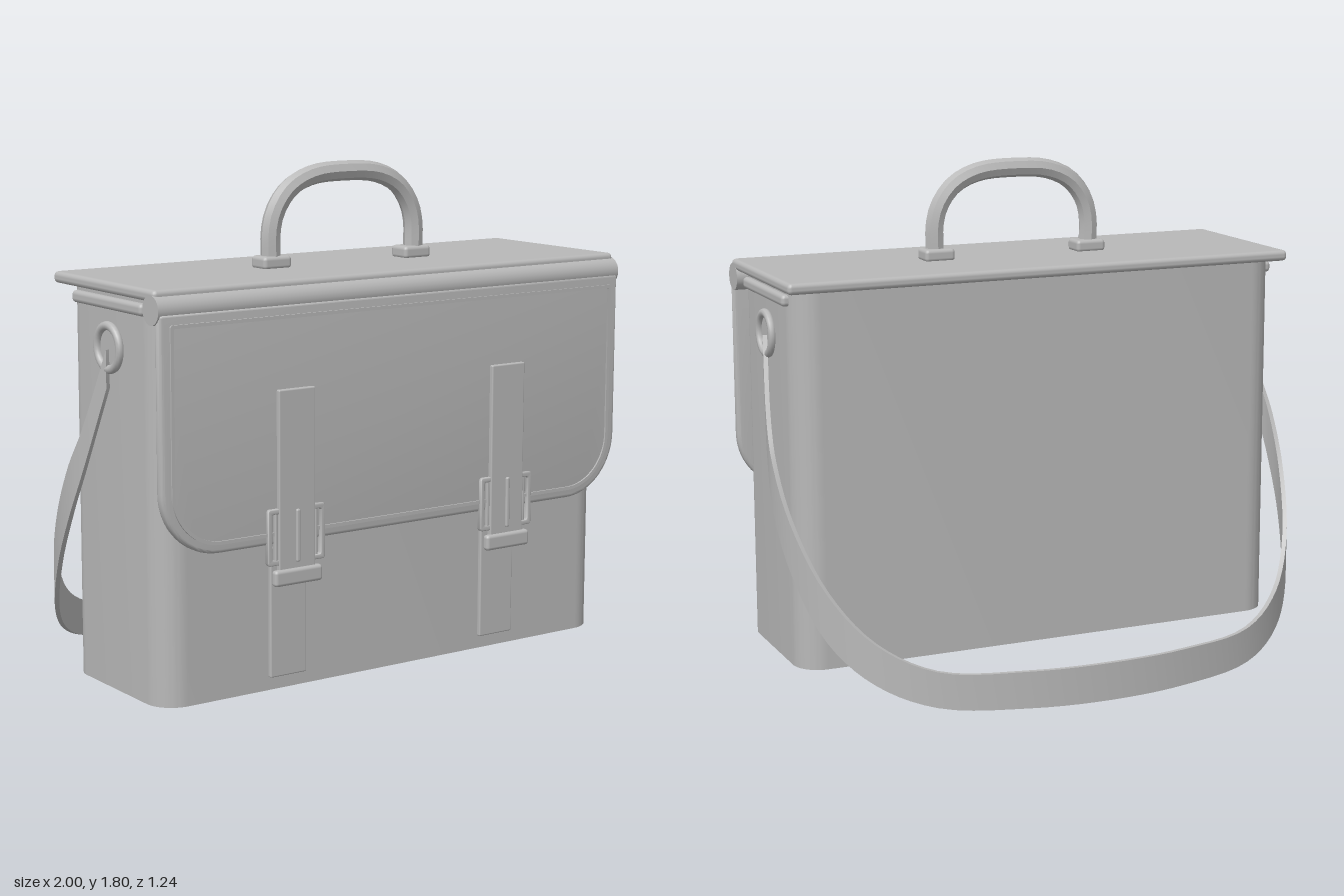
import * as THREE from 'three';
import { RoundedBoxGeometry } from 'three/addons/geometries/RoundedBoxGeometry.js';
import { toCreasedNormals } from 'three/addons/utils/BufferGeometryUtils.js';

const leather = new THREE.MeshStandardMaterial({ color: 0xb8b8b8 });
leather.name = 'grey leather';

// Rectangle outline with separate corner radii for the top and bottom
function outline(x0, x1, y0, y1, rTop, rBottom, Type = THREE.Shape) {
  const s = new Type();
  const H = Math.PI / 2;
  s.moveTo(x0 + rBottom, y0);
  s.lineTo(x1 - rBottom, y0);
  s.absarc(x1 - rBottom, y0 + rBottom, rBottom, -H, 0);
  s.lineTo(x1, y1 - rTop);
  s.absarc(x1 - rTop, y1 - rTop, rTop, 0, H);
  s.lineTo(x0 + rTop, y1);
  s.absarc(x0 + rTop, y1 - rTop, rTop, H, 2 * H);
  s.lineTo(x0, y0 + rBottom);
  s.absarc(x0 + rBottom, y0 + rBottom, rBottom, 2 * H, 3 * H);
  return s;
}

function extrude(shape, depth, bevel = 0) {
  const g = new THREE.ExtrudeGeometry(shape, {
    depth: depth - 2 * bevel, curveSegments: 10,
    bevelEnabled: bevel > 0, bevelSize: bevel, bevelThickness: bevel, bevelOffset: -bevel, bevelSegments: 3,
  });
  g.translate(0, 0, bevel);
  return toCreasedNormals(g, 0.7);
}

// Shoulder strap: a ribbon swept between an upper and a lower edge curve
function ribbon(rows, thickness, steps) {
  const full = [...rows, ...rows.slice(0, -1).reverse().map(([x, z, t, b]) => [-x, z, t, b])];
  const edge = (k) => new THREE.CatmullRomCurve3(full.map((r) => new THREE.Vector3(r[0], r[k], r[1])));
  const upper = edge(2), lower = edge(3);
  const pos = [], idx = [];
  for (let i = 0; i <= steps; i++) {
    const u = upper.getPoint(i / steps), l = lower.getPoint(i / steps);
    const t = upper.getTangent(i / steps);
    const n = new THREE.Vector3(-t.z, 0, t.x).normalize().multiplyScalar(thickness / 2);
    for (const [p, s] of [[u, 1], [u, -1], [l, -1], [l, 1]]) pos.push(p.x + s * n.x, p.y, p.z + s * n.z);
    if (i === steps) continue;
    for (let k = 0; k < 4; k++) {
      const a = i * 4 + k, b = i * 4 + (k + 1) % 4;
      idx.push(a, a + 4, b, b, a + 4, b + 4);
    }
  }
  const e = steps * 4;
  idx.push(0, 1, 2, 0, 2, 3, e, e + 2, e + 1, e, e + 3, e + 2);
  const g = new THREE.BufferGeometry();
  g.setAttribute('position', new THREE.Float32BufferAttribute(pos, 3));
  g.setIndex(idx);
  return toCreasedNormals(g, 0.7);
}

export function createModel() {
  const bag = new THREE.Group();
  bag.name = 'satchel';
  const strapLeather = leather.clone();
  strapLeather.name = 'grey strap leather';
  strapLeather.side = THREE.DoubleSide;

  const add = (name, geometry, x = 0, y = 0, z = 0, parent = bag, material = leather) => {
    const m = new THREE.Mesh(geometry, material);
    m.name = name;
    m.position.set(x, y, z);
    parent.add(m);
    return m;
  };
  const block = (name, w, h, d, r, x, y, z, parent) =>
    add(name, new RoundedBoxGeometry(w, h, d, 2, r), x, y, z, parent);

  // Body with rounded upright corners
  const body = extrude(outline(-0.94, 0.94, -0.3, 0.3, 0.1, 0.1), 1.36);
  body.rotateX(-Math.PI / 2);
  add('body', body, 0, 0.055, 0.24);

  // Lid, rolled front edge and front flap
  block('lid', 1.94, 0.04, 0.66, 0.016, 0, 1.425, 0.232);
  const roll = new THREE.CylinderGeometry(0.049, 0.049, 1.94, 24);
  roll.rotateZ(Math.PI / 2);
  add('rolledEdge', roll, 0, 1.38, 0.542);
  add('flap', extrude(outline(-0.965, 0.965, 0.57, 1.37, 0.01, 0.22), 0.038, 0.012), 0, 0, 0.555);

  // Raised seam just inside the flap edge
  const seam = outline(-0.93, 0.93, 0.6, 1.335, 0.008, 0.19);
  seam.holes.push(outline(-0.918, 0.918, 0.612, 1.323, 0.006, 0.178, THREE.Path));
  add('flapSeam', extrude(seam, 0.012), 0, 0, 0.587);

  // Two closing straps with buckles
  for (const side of [-1, 1]) {
    const clasp = new THREE.Group();
    clasp.name = side > 0 ? 'leftClasp' : 'rightClasp';
    clasp.position.x = side * 0.45;
    bag.add(clasp);
    block('upperStrap', 0.146, 0.62, 0.02, 0.005, 0, 0.78, 0.598, clasp);
    block('lowerStrap', 0.146, 0.45, 0.018, 0.005, 0, 0.325, 0.546, clasp);
    const frame = outline(-0.115, 0.115, 0.5, 0.692, 0.01, 0.01);
    frame.holes.push(outline(-0.097, 0.097, 0.518, 0.674, 0.006, 0.006, THREE.Path));
    add('buckleFrame', extrude(frame, 0.02, 0.004), 0, 0, 0.585, clasp);
    for (const s of [-1, 1]) block('buckleBar', 0.012, 0.17, 0.016, 0.004, s * 0.08, 0.596, 0.595, clasp);
    block('buckleProng', 0.016, 0.18, 0.014, 0.006, 0, 0.595, 0.61, clasp);
    block('strapKeeper', 0.192, 0.056, 0.03, 0.012, 0, 0.457, 0.606, clasp);
  }

  // Carrying handle on two feet
  const half = [[0.305, 1.47], [0.305, 1.57], [0.285, 1.64], [0.23, 1.71], [0.14, 1.752]];
  const path = [...half, [0, 1.763], ...half.map(([x, y]) => [-x, y]).reverse()];
  const curve = new THREE.CatmullRomCurve3(path.map(([x, y]) => new THREE.Vector3(x, y, 0)));
  add('handle', toCreasedNormals(new THREE.TubeGeometry(curve, 28, 0.035, 8), 0.5), 0, 0, 0.235);
  for (const s of [-1, 1]) block('handleFoot', 0.115, 0.046, 0.088, 0.014, s * 0.3, 1.463, 0.232);

  // Side trim and strap eyelets
  for (const s of [-1, 1]) {
    block('sideTrim', 0.04, 0.042, 0.455, 0.015, s * 0.94, 1.37, 0.235);
    const ring = new THREE.TorusGeometry(0.073, 0.015, 10, 32);
    ring.rotateY(Math.PI / 2);
    add('eyeletRing', ring, s * 0.948, 1.222, 0.235);
    const stud = new THREE.CylinderGeometry(0.065, 0.065, 0.01, 28);
    stud.rotateZ(Math.PI / 2);
    add('eyeletDisc', stud, s * 0.94, 1.222, 0.235);
  }

  // Shoulder strap: x, z, upper y, lower y of each row
  const rows = [
    [0.952, 0.235, 1.215, 1.085], [0.982, 0.12, 0.935, 0.79], [0.991, 0.04, 0.8, 0.625],
    [0.972, -0.08, 0.61, 0.43], [0.9, -0.24, 0.39, 0.215], [0.78, -0.38, 0.235, 0.09],
    [0.6, -0.495, 0.148, 0.02], [0.3, -0.585, 0.136, 0.004], [0, -0.612, 0.135, 0],
  ];
  add('shoulderStrap', ribbon(rows, 0.016, 80), 0, 0, 0, bag, strapLeather);

  return bag;
}
